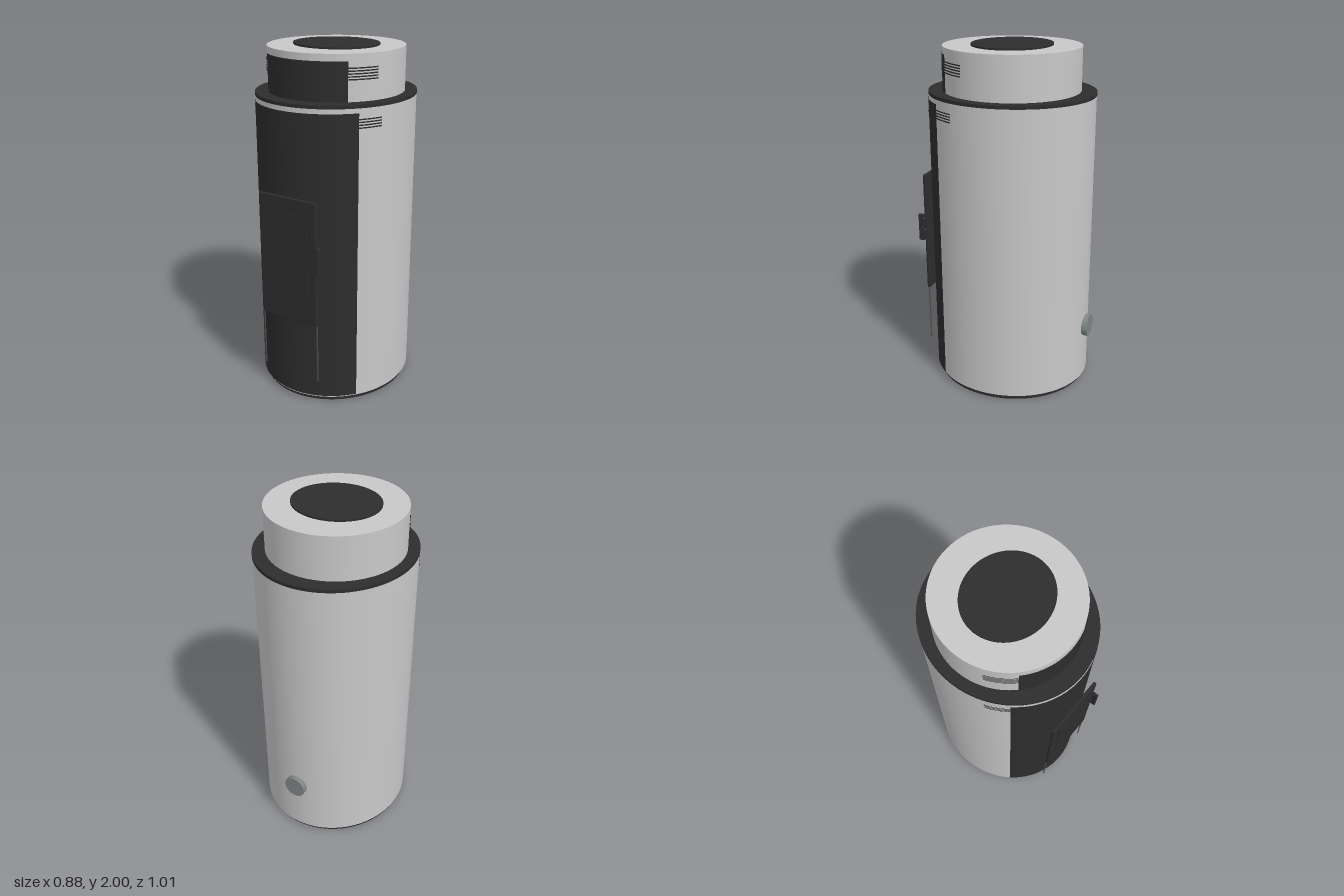
import * as THREE from 'three';
import { RoundedBoxGeometry } from 'three/addons/geometries/RoundedBoxGeometry.js';

const CZ = -0.008; // depth centre of the oval body

export function createModel() {
  const stove = new THREE.Group();
  stove.name = 'stove';

  const mat = (name, color, side = THREE.FrontSide) => {
    const m = new THREE.MeshStandardMaterial({ color, side });
    m.name = name;
    return m;
  };
  const silver = mat('silver', 0xc8c8c8);
  const black = mat('black', 0x2d2d2d);
  const blackSheet = mat('blackSheet', 0x2d2d2d, THREE.DoubleSide);
  const steel = mat('steel', 0x7f8585);
  const seamGrey = mat('seamGrey', 0x505050);

  const add = (name, geometry, material, x = 0, y = 0, z = 0) => {
    const mesh = new THREE.Mesh(geometry, material);
    mesh.name = name;
    mesh.position.set(x, y, z);
    stove.add(mesh);
    return mesh;
  };

  // Oval drum between two heights
  const drum = (name, rx, rz, y0, y1, material) => {
    const g = new THREE.CylinderGeometry(1, 1, y1 - y0, 96).scale(rx, 1, rz);
    return add(name, g, material, 0, (y0 + y1) / 2, CZ);
  };

  // Curved sheet wrapped round the front, half-angle in degrees
  const sheet = (name, rx, rz, y0, y1, degrees) => {
    const a = THREE.MathUtils.degToRad(degrees);
    const g = new THREE.CylinderGeometry(1, 1, y1 - y0, 48, 1, true, -a, 2 * a).scale(rx, 1, rz);
    return add(name, g, blackSheet, 0, (y0 + y1) / 2, CZ);
  };

  // Main drums
  drum('base', 0.425, 0.455, 0, 0.028, black);
  drum('body', 0.438, 0.472, 0.028, 1.727, silver);
  drum('collar', 0.44, 0.474, 1.727, 1.745, black);
  drum('upperBody', 0.38, 0.386, 1.745, 1.99, silver);
  drum('topCover', 0.244, 0.224, 1.99, 2.0, black);

  // Curved front panels
  sheet('frontPanel', 0.44, 0.475, 0.035, 1.702, 50);
  sheet('upperFrontPanel', 0.382, 0.389, 1.745, 1.953, 42.5);

  // Vent slots reaching out past the panels
  for (let i = 0; i < 5; i++) {
    const y = 1.86 + i * 0.0145;
    sheet('upperVent', 0.383, 0.391, y - 0.0035, y + 0.0035, 67.5);
  }
  for (let i = 0; i < 4; i++) {
    const y = 1.625 + i * 0.0148;
    sheet('lowerVent', 0.441, 0.477, y - 0.0035, y + 0.0035, 66.5);
  }

  // Door with window and handle
  add('door', new RoundedBoxGeometry(0.376, 0.73, 0.019, 3, 0.006), black, 0, 0.875, 0.4725);
  add('window', new THREE.BoxGeometry(0.264, 0.47, 0.006), black, 0, 0.92, 0.484);
  add('handle', new RoundedBoxGeometry(0.018, 0.165, 0.034, 3, 0.004), black, 0.21, 0.92, 0.488);

  // Seams below the door
  for (const s of [-1, 1]) {
    add('drawerSeam', new THREE.BoxGeometry(0.006, 0.35, 0.006), seamGrey, s * 0.185, 0.337, 0.469);
  }

  // Air inlet at the back
  const inlet = new THREE.CylinderGeometry(0.066, 0.066, 0.06, 48).rotateX(Math.PI / 2);
  add('airInlet', inlet, steel, 0, 0.355, -0.478);

  return stove;
}
